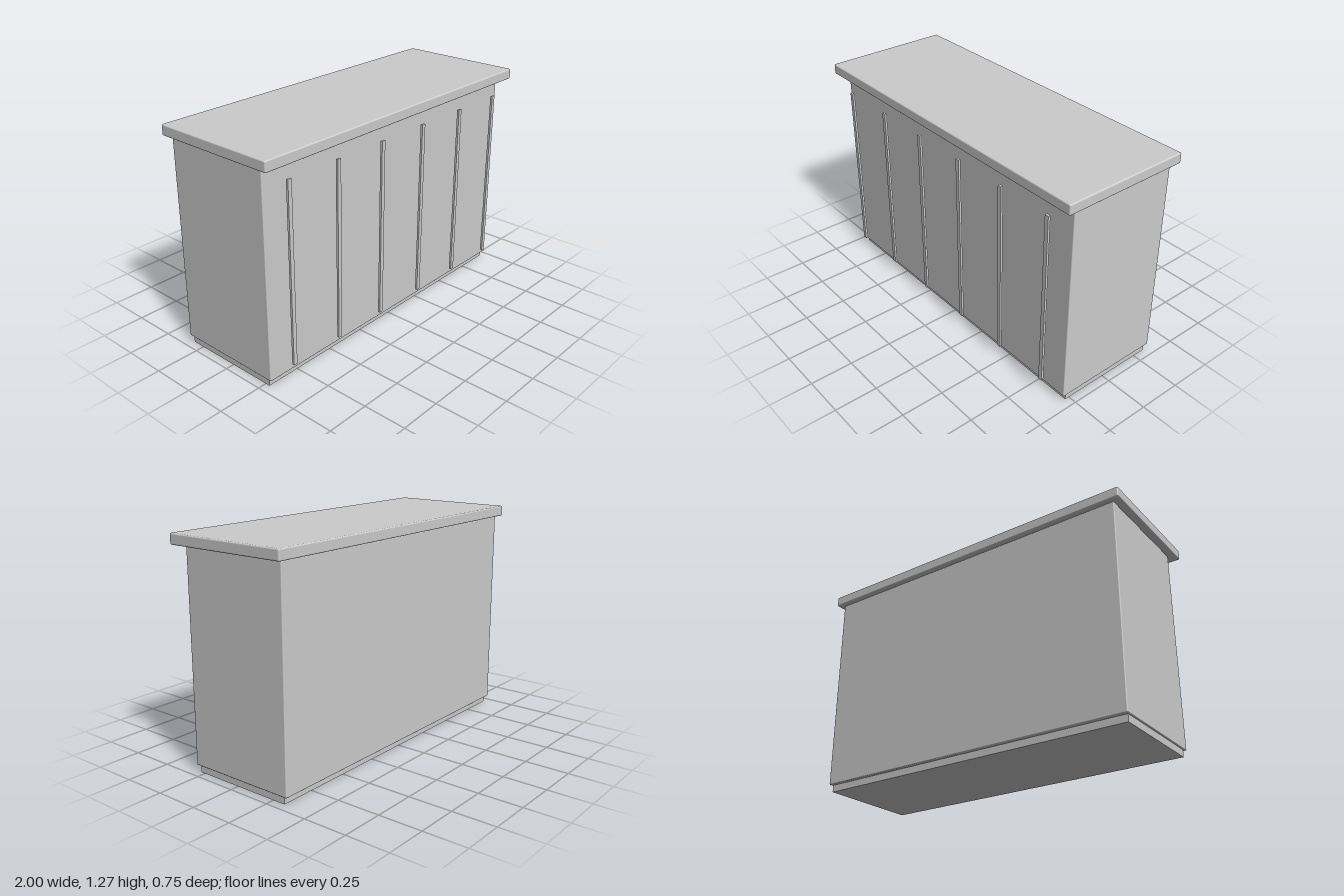
import * as THREE from 'three';
import { RoundedBoxGeometry } from 'three/addons/geometries/RoundedBoxGeometry.js';

const material = new THREE.MeshStandardMaterial({ color: 0xcccccc });

// Box given by its extents on each axis; a radius rounds its edges.
function block(name, [x0, x1], [y0, y1], [z0, z1], radius = 0) {
  const size = [x1 - x0, y1 - y0, z1 - z0];
  const geometry = radius
    ? new RoundedBoxGeometry(...size, 3, radius)
    : new THREE.BoxGeometry(...size);
  const mesh = new THREE.Mesh(geometry, material);
  mesh.name = name;
  mesh.position.set((x0 + x1) / 2, (y0 + y1) / 2, (z0 + z1) / 2);
  return mesh;
}

export function createModel() {
  const counter = new THREE.Group();
  counter.name = 'counter';

  // Recessed plinth, cabinet body and overhanging worktop
  counter.add(
    block('plinth', [-0.95, 0.95], [0, 0.045], [-0.325, 0.277]),
    block('body', [-0.96, 0.96], [0.04, 1.213], [-0.347, 0.3], 0.006),
    block('worktop', [-1, 1], [1.215, 1.275], [-0.373, 0.373], 0.008),
  );

  // Row of thin upright slats standing just off the front
  const slats = new THREE.Group();
  slats.name = 'frontSlats';
  const count = 6, spacing = 0.337, halfWidth = 0.012;
  for (let i = 0; i < count; i++) {
    const x = (i - (count - 1) / 2) * spacing;
    slats.add(block('frontSlat', [x - halfWidth, x + halfWidth], [0.116, 1.138], [0.351, 0.364]));
  }
  counter.add(slats);

  return counter;
}
